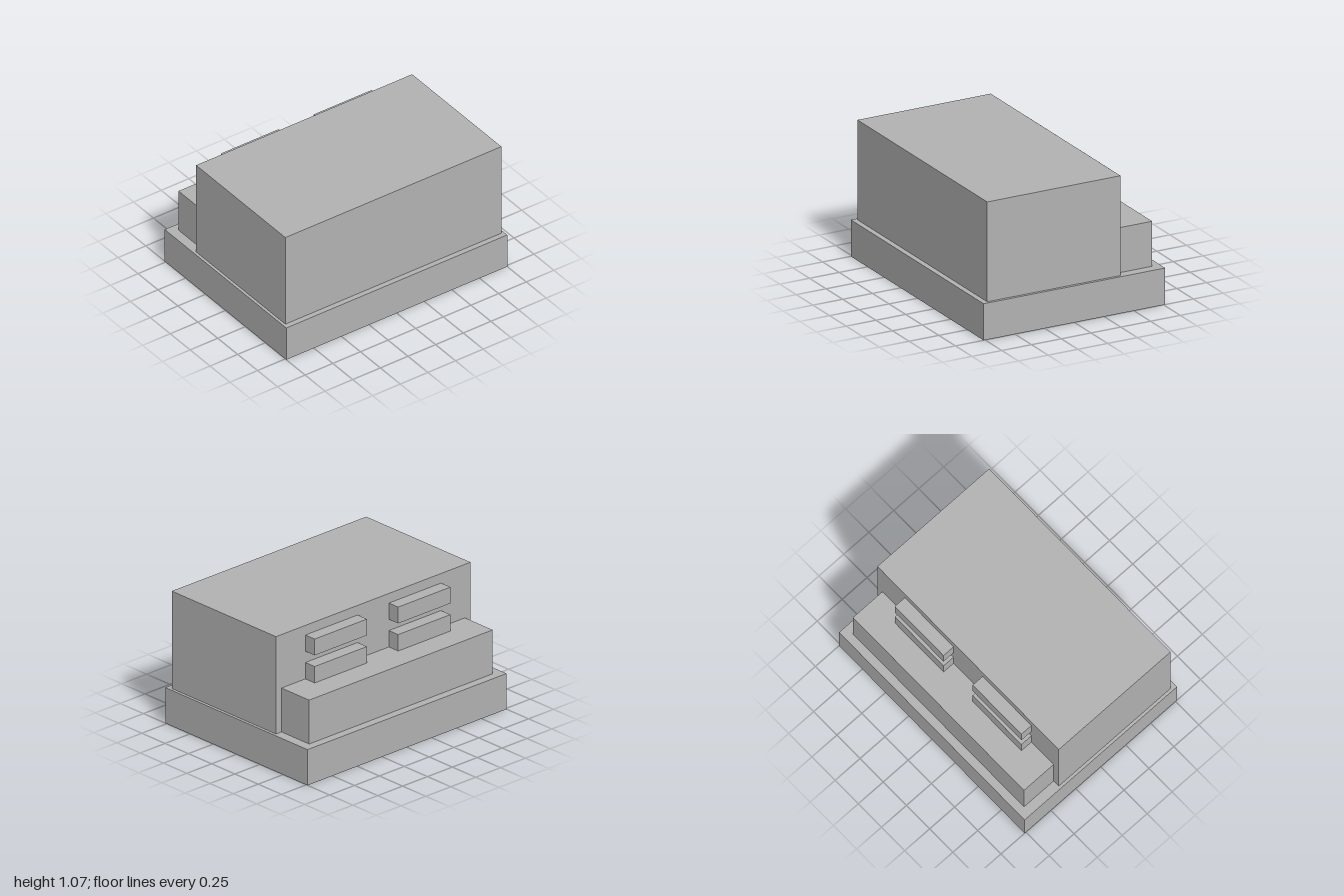
import * as THREE from 'three';

export function createModel() {
  const model = new THREE.Group();
  const grey = new THREE.MeshStandardMaterial({ color: 0xb2b2b2 });
  grey.name = 'grey';

  // Box given by its low and high limits on each axis
  function addBlock(name, [x0, x1], [y0, y1], [z0, z1]) {
    const mesh = new THREE.Mesh(new THREE.BoxGeometry(x1 - x0, y1 - y0, z1 - z0), grey);
    mesh.position.set((x0 + x1) / 2, (y0 + y1) / 2, (z0 + z1) / 2);
    mesh.name = name;
    model.add(mesh);
  }

  // Plinth, main block and the ledge along the back
  addBlock('base', [-1, 1], [0, 0.287], [-0.763, 0.763]);
  addBlock('body', [-0.977, 0.977], [0.287, 1.07], [-0.4, 0.72]);
  addBlock('backLedge', [-0.922, 0.922], [0.287, 0.64], [-0.697, -0.4]);

  // Two rows of bars on the back wall, mirrored left and right
  for (const [row, y] of [['lower', [0.64, 0.772]], ['upper', [0.862, 0.993]]]) {
    addBlock(row + 'LeftBar', [0.157, 0.682], y, [-0.5, -0.4]);
    addBlock(row + 'RightBar', [-0.682, -0.157], y, [-0.5, -0.4]);
  }
  return model;
}
